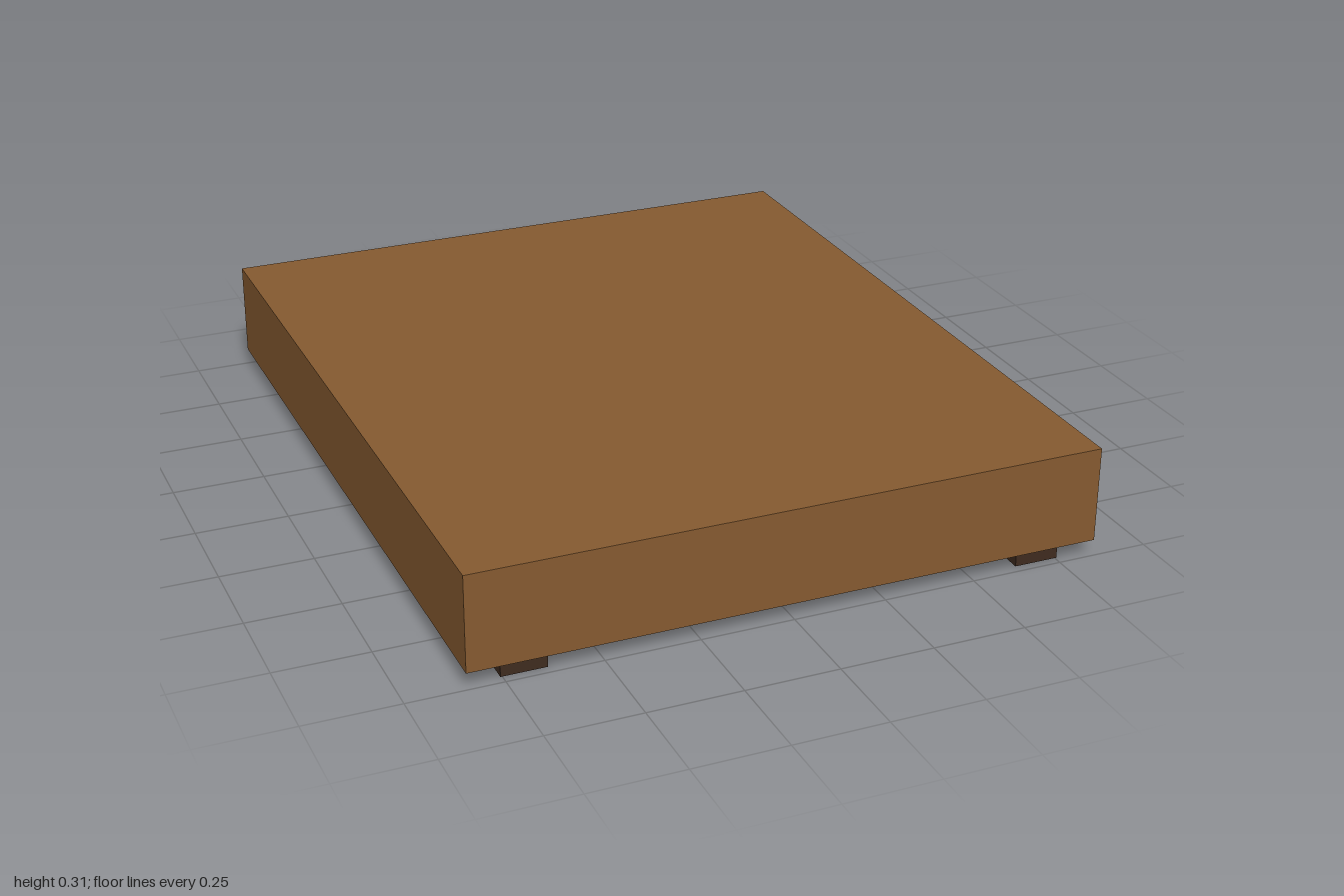
import * as THREE from 'three';

export function createModel() {
  const model = new THREE.Group();
  const wood = new THREE.MeshStandardMaterial({ color: 0x855a30 });
  const darkWood = new THREE.MeshStandardMaterial({ color: 0x3e2b1f });

  const addBox = (name, size, position, material) => {
    const mesh = new THREE.Mesh(new THREE.BoxGeometry(...size), material);
    mesh.name = name;
    mesh.position.set(...position);
    model.add(mesh);
  };

  // Solid slab
  const footHeight = 0.045;
  const slabHeight = 0.26;
  addBox('slab', [1.695, slabHeight, 2], [0, footHeight + slabHeight / 2, 0], wood);

  // Feet: two at the front, three at the back
  const footX = 0.695;
  const footZ = 0.915;
  const addFoot = (name, x, z) =>
    addBox(name, [0.12, footHeight, 0.12], [x, footHeight / 2, z], darkWood);
  for (const [side, s] of [['Left', 1], ['Right', -1]]) {
    addFoot(`front${side}Foot`, s * footX, footZ);
    addFoot(`back${side}Foot`, s * footX, -footZ);
  }
  addFoot('backMiddleFoot', 0, -footZ);

  return model;
}
